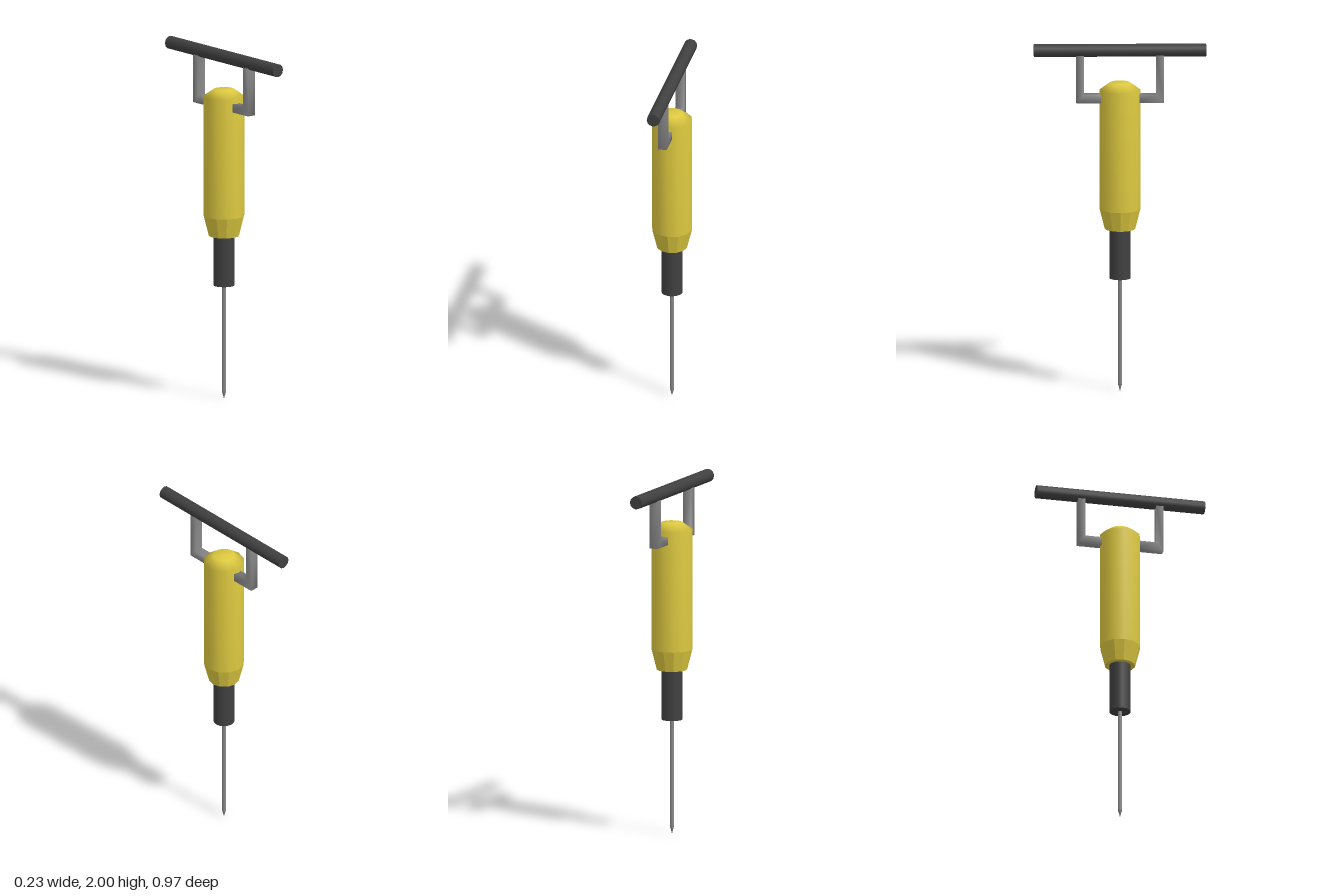
import * as THREE from 'three';
import { mergeVertices } from 'three/addons/utils/BufferGeometryUtils.js';

const mat = (name, color) => {
  const m = new THREE.MeshStandardMaterial({ color });
  m.name = name;
  return m;
};

export function createModel() {
  const group = new THREE.Group();
  const yellow = mat('yellow paint', 0xdcc83f);
  const dark = mat('dark rubber', 0x404040);
  const steel = mat('steel', 0x8a8a8a);
  const add = (name, geometry, material, y = 0) => {
    const mesh = new THREE.Mesh(geometry, material);
    mesh.name = name;
    mesh.position.y = y;
    group.add(mesh);
    return mesh;
  };

  // Twelve-sided motor housing with a softly shaded shoulder
  const wall = [[0.115, 1.05], [0.115, 1.735], [0.06, 1.775], [0, 1.775]];
  add('housing', new THREE.LatheGeometry(wall.map(p => new THREE.Vector2(...p)), 12), yellow);

  // Faceted taper under the housing
  const taper = new THREE.CylinderGeometry(0.115, 0.086, 0.115, 12).toNonIndexed();
  taper.computeVertexNormals();
  add('housingTaper', taper, yellow, 0.9925);

  // Chuck and pointed chisel
  add('chuck', new THREE.CylinderGeometry(0.06, 0.06, 0.3, 16), dark, 0.8);
  add('chisel', new THREE.CylinderGeometry(0.012, 0.012, 0.63, 8), steel, 0.355);
  add('chiselTip', new THREE.CylinderGeometry(0.012, 0.001, 0.04, 8), steel, 0.02);

  // L-shaped brackets at front and back, with softened shading
  const outline = [[0.08, 1.663], [0.246, 1.663], [0.246, 1.95], [0.203, 1.95], [0.203, 1.71], [0.08, 1.71]];
  const shape = new THREE.Shape(outline.map(p => new THREE.Vector2(...p)));
  for (const side of [1, -1]) {
    let arm = new THREE.ExtrudeGeometry(shape, { depth: 0.05, bevelEnabled: false });
    arm.translate(0, 0, -0.025);
    arm.deleteAttribute('normal');
    arm.deleteAttribute('uv');
    arm = mergeVertices(arm);
    arm.computeVertexNormals();
    add(side > 0 ? 'frontBracket' : 'backBracket', arm, steel).rotation.y = -side * Math.PI / 2;
  }

  // Handlebar across the top
  add('handlebar', new THREE.CylinderGeometry(0.037, 0.037, 0.968, 12), dark, 1.963).rotation.x = Math.PI / 2;
  return group;
}
